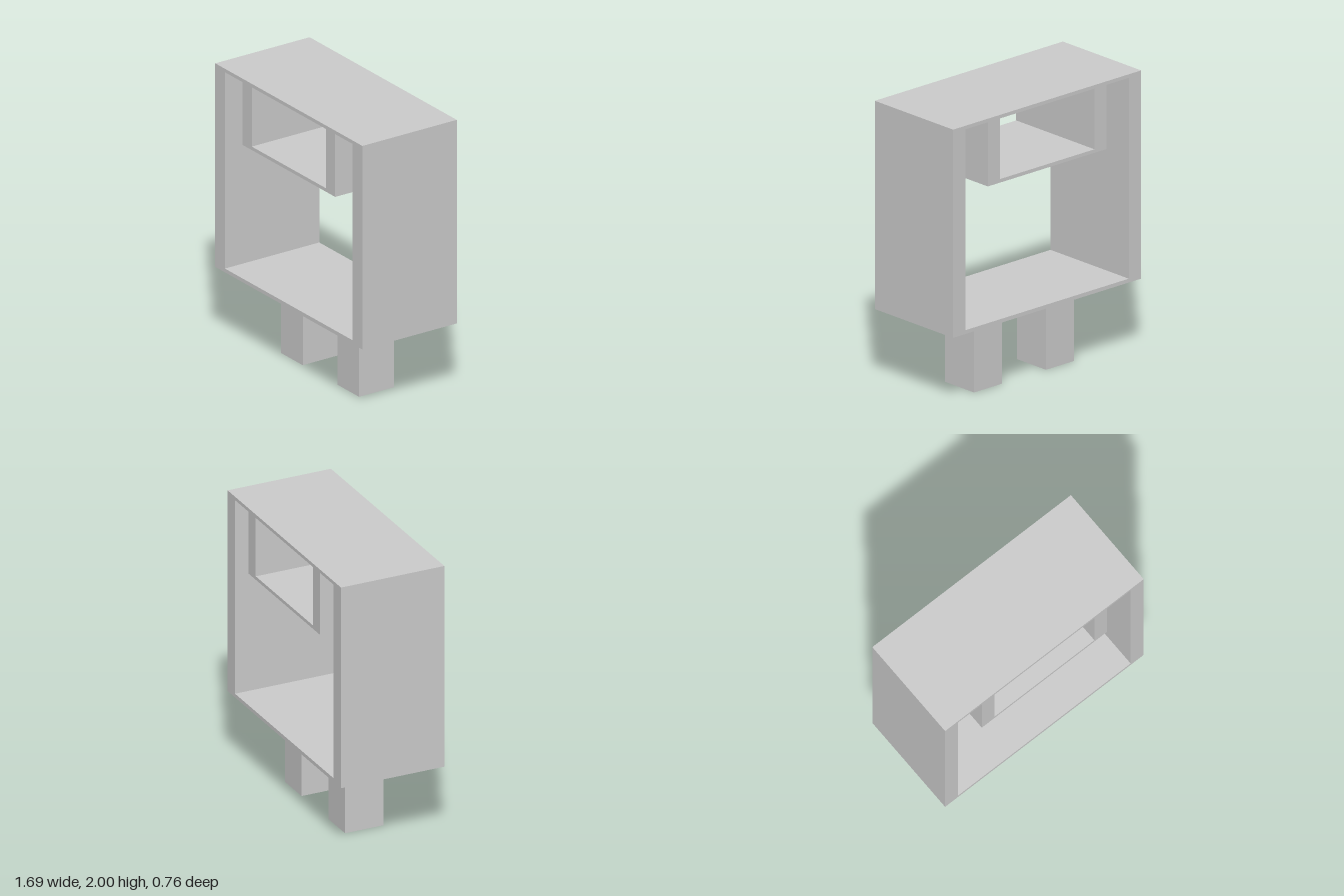
import * as THREE from 'three';

const DEPTH = 0.76, BOTTOM = 0.54, TOP = 2, CEILING = 1.975;

const points = (list) => list.map(([x, y]) => new THREE.Vector2(x, y));
const rect = (halfWidth, y0, y1) =>
  points([[-halfWidth, y0], [halfWidth, y0], [halfWidth, y1], [-halfWidth, y1]]);

export function createModel() {
  const model = new THREE.Group();
  const material = new THREE.MeshStandardMaterial({ color: 0xcccccc });

  // Open cabinet body with a hanging tray: one section extruded along z
  const section = new THREE.Shape(rect(0.844, BOTTOM, TOP));
  section.holes.push(
    // main opening, wrapping around the tray
    new THREE.Path(points([
      [-0.733, 0.567], [-0.733, CEILING], [-0.532, CEILING], [-0.532, 1.525],
      [0.532, 1.525], [0.532, CEILING], [0.733, CEILING], [0.733, 0.567],
    ])),
    // tray opening
    new THREE.Path(rect(0.425, 1.55, CEILING)),
  );
  const geometry = new THREE.ExtrudeGeometry(section, { depth: DEPTH, bevelEnabled: false });
  geometry.translate(0, 0, -DEPTH / 2);
  const cabinet = new THREE.Mesh(geometry, material);
  cabinet.name = 'cabinetWithTray';
  model.add(cabinet);

  // Pair of square legs
  for (const [name, side] of [['leftLeg', 1], ['rightLeg', -1]]) {
    const leg = new THREE.Mesh(new THREE.BoxGeometry(0.25, BOTTOM, 0.283), material);
    leg.name = name;
    leg.position.set(side * 0.323, BOTTOM / 2, -0.013);
    model.add(leg);
  }
  return model;
}
